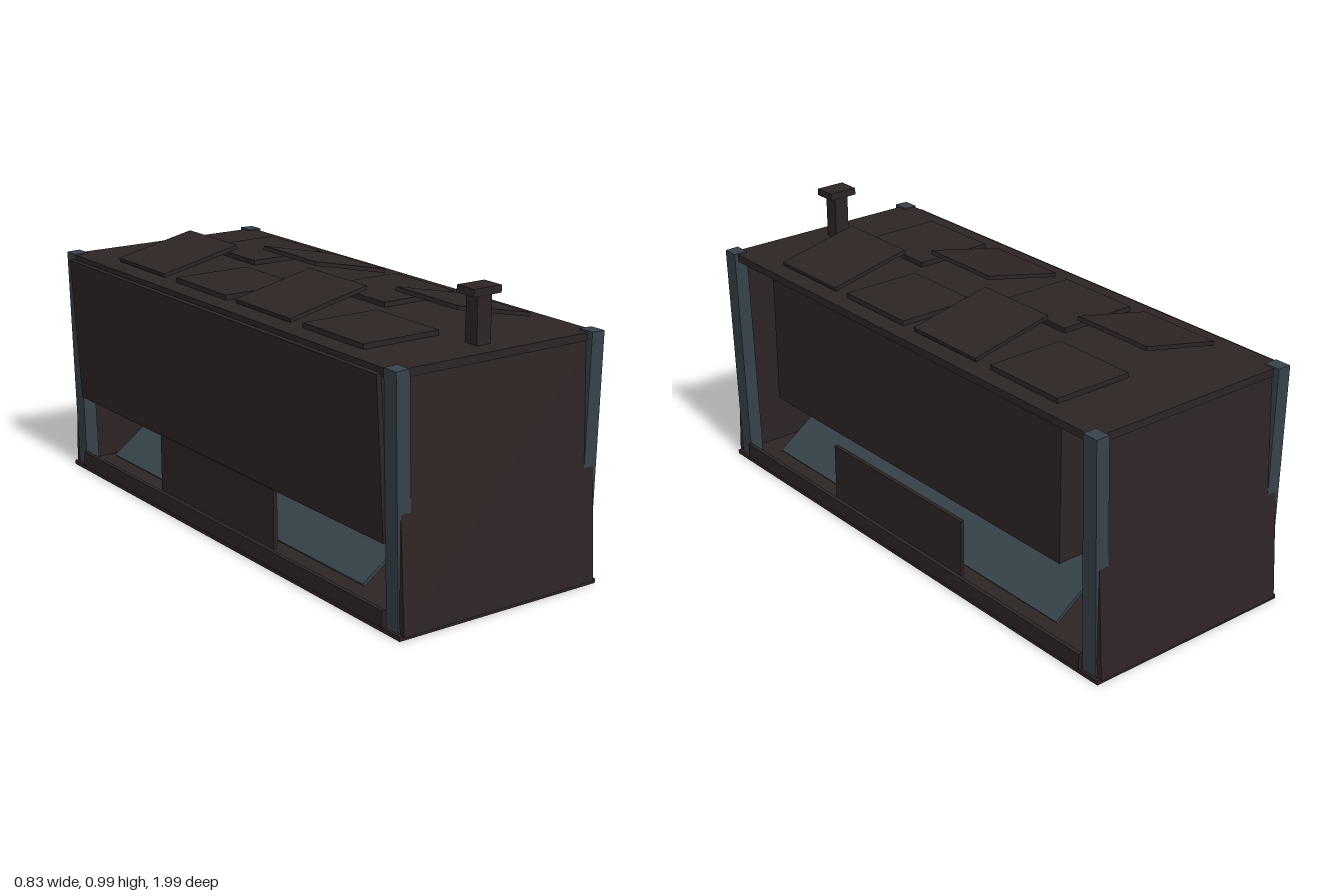
import * as THREE from 'three';

export function createModel() {
  const model = new THREE.Group();
  model.name = 'boxWagonBody';

  const brown = new THREE.MeshStandardMaterial({ color: 0x2e2424 });
  brown.name = 'dark brown';
  const slate = new THREE.MeshStandardMaterial({ color: 0x36424a });
  slate.name = 'slate blue';

  // Box with a size, a centre and an optional lean about x and z
  function box(name, material, size, centre, leanX = 0, leanZ = 0) {
    const mesh = new THREE.Mesh(new THREE.BoxGeometry(...size), material);
    mesh.name = name;
    mesh.position.set(...centre);
    mesh.rotation.set(leanX, 0, leanZ);
    model.add(mesh);
    return mesh;
  }

  const cx = 0.01; // the body sits slightly off the centre line

  // Floor and roof
  box('floor', brown, [0.78, 0.015, 1.98], [cx, 0.0075, 0]);
  box('roof', brown, [0.785, 0.026, 1.9], [0.005, 0.802, 0]);

  // Inner cargo box
  box('cargoBox', brown, [0.69, 0.48, 1.52], [cx, 0.54, 0]);

  // Leaning side wall, on the right side only
  box('sideWall', brown, [0.018, 0.52, 1.82], [-0.39, 0.542, 0], 0, 0.06);

  for (const s of [-1, 1]) {
    // End wall, leaning outward at the foot
    box('endWall', brown, [0.755, 0.785, 0.02], [cx, 0.402, s * 0.96], -s * 0.064);

    // Sill, middle side plate and sloping chute
    box('sill', brown, [0.014, 0.055, 1.82], [cx + s * 0.387, 0.043, 0]);
    box('sidePlate', brown, [0.014, 0.2, 0.69], [cx + s * 0.389, 0.185, 0]);
    box('chute', slate, [0.31, 0.012, 1.51], [cx + s * 0.22, 0.178, 0], 0, -s * 0.62);

    // Corner posts, leaning outward at the top
    for (const e of [-1, 1]) {
      box('cornerPost', slate, [0.05, 0.805, 0.058], [cx + s * 0.366, 0.417, e * 0.942], 0, -s * 0.026);
    }
  }

  // Roof hatches in two columns, alternately open and shut
  const rows = [0.56, 0.19, -0.185, -0.56];
  rows.forEach((z, i) => {
    for (const s of [-1, 1]) {
      const open = (i % 2 === 0) === (s === 1);
      const x = s === 1 ? 0.19 : -0.172;
      if (open) box('openHatch', brown, [0.302, 0.014, 0.31], [x, 0.858, z], 0, -s * 0.213);
      else box('shutHatch', brown, [0.286, 0.018, 0.31], [x, 0.823, z]);
    }
  });

  // Brake post with its cap
  box('brakePost', brown, [0.054, 0.16, 0.054], [cx, 0.892, 0.85]);
  box('brakeCap', brown, [0.106, 0.024, 0.08], [cx, 0.981, 0.85]);

  return model;
}
